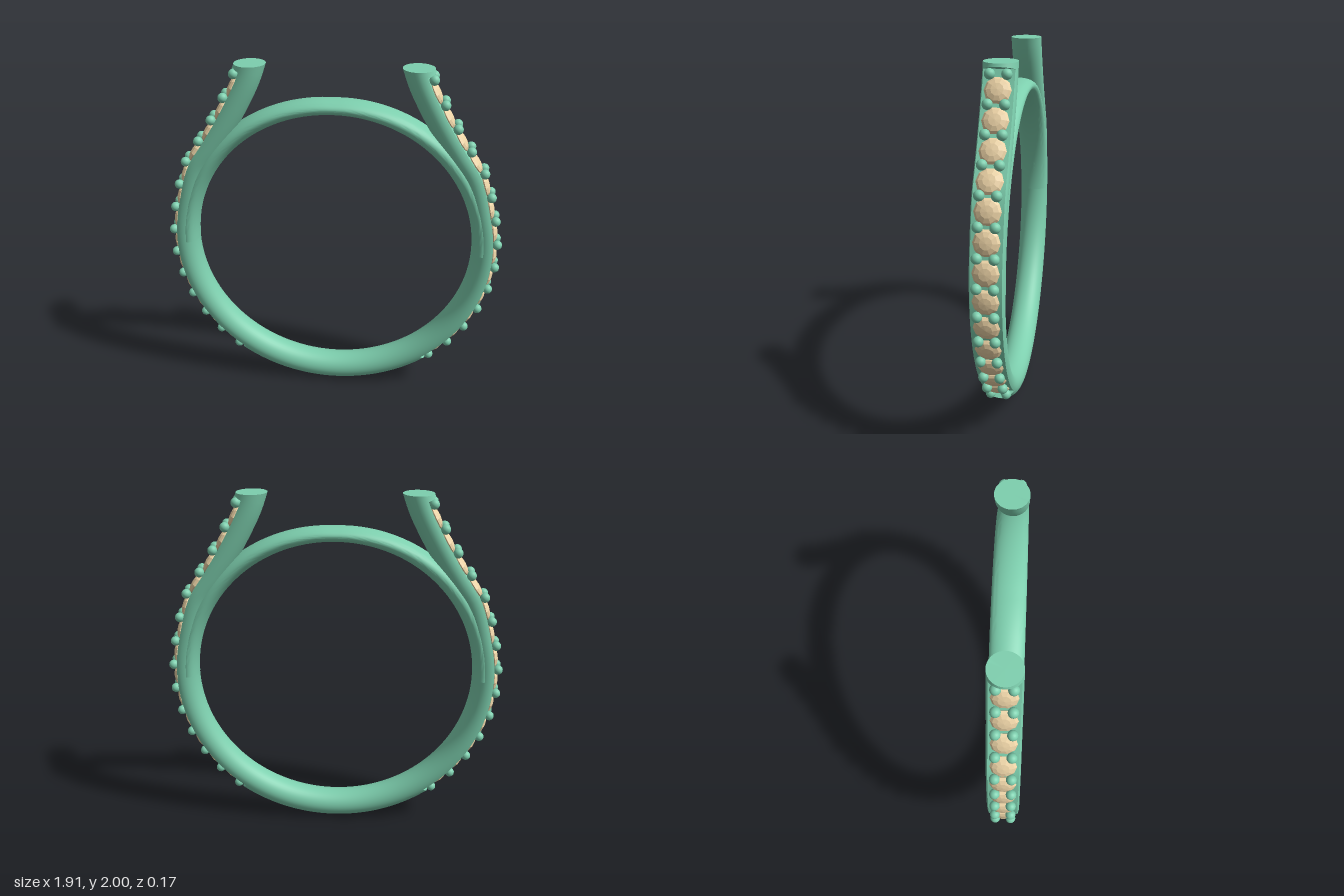
import * as THREE from 'three';
import { toCreasedNormals } from 'three/addons/utils/BufferGeometryUtils.js';

const CENTRE_Y = 0.95, RADIUS = 0.87, INNER = 0.79, TOP = 2;
const SIDES = 40;
const metal = new THREE.MeshStandardMaterial({ color: 0x7dcfae });
const stone = new THREE.MeshStandardMaterial({ color: 0xecd3a6, flatShading: true });

// Capped sweep through stations { p, n, a, b, flat }: an ellipse (a outward, b in z),
// cut flat on its outer side and trimmed level at the top.
function sweep(stations) {
  const pos = [], index = [], v = new THREE.Vector3();
  for (const { p, n, a, b, flat } of stations) {
    const t = new THREE.Vector3(-n.y, n.x, 0);
    for (let j = 0; j < SIDES; j++) {
      const ang = (j / SIDES) * Math.PI * 2;
      v.copy(p).addScaledVector(n, Math.min(a * Math.cos(ang), flat));
      v.z += b * Math.sin(ang);
      if (v.y > TOP) v.addScaledVector(t, (TOP - v.y) / t.y);
      pos.push(v.x, v.y, v.z);
    }
  }
  const last = stations.length - 1;
  const id = (i, j) => i * SIDES + (j % SIDES);
  for (let i = 0; i < last; i++) {
    for (let j = 0; j < SIDES; j++) {
      index.push(id(i, j), id(i + 1, j), id(i, j + 1));
      index.push(id(i + 1, j), id(i + 1, j + 1), id(i, j + 1));
    }
  }
  // End caps
  for (const i of [0, last]) {
    const c = pos.length / 3, sum = [0, 0, 0];
    for (let j = 0; j < SIDES; j++) for (let k = 0; k < 3; k++) sum[k] += pos[id(i, j) * 3 + k] / SIDES;
    pos.push(...sum);
    for (let j = 0; j < SIDES; j++) {
      if (i === 0) index.push(c, id(i, j), id(i, j + 1));
      else index.push(c, id(i, j + 1), id(i, j));
    }
  }
  const g = new THREE.BufferGeometry();
  g.setAttribute('position', new THREE.Float32BufferAttribute(pos, 3));
  g.setIndex(index);
  return toCreasedNormals(g, 0.5);
}

// Centre line: left arm, round the bottom, right arm
function shankCurve() {
  const half = [];
  for (let d = -90; d <= 15; d += 7.5) {
    const r = THREE.MathUtils.degToRad(d);
    half.push(new THREE.Vector3(RADIUS * Math.cos(r), CENTRE_Y + RADIUS * Math.sin(r), 0));
  }
  for (const [x, y] of [[0.772, 1.408], [0.69, 1.535], [0.61, 1.66], [0.53, 1.8], [0.467, 1.927], [0.427, 2.04]]) {
    half.push(new THREE.Vector3(x, y, 0));
  }
  const mirrored = half.slice(1).reverse().map(p => new THREE.Vector3(-p.x, p.y, 0));
  const curve = new THREE.CatmullRomCurve3([...mirrored, ...half]);
  curve.arcLengthDivisions = 1000;
  return curve;
}

export function createModel() {
  const model = new THREE.Group();
  const add = (name, geometry, material, parent = model) => {
    const m = new THREE.Mesh(geometry, material);
    m.name = name;
    parent.add(m);
    return m;
  };

  const curve = shankCurve();
  const length = curve.getLength(), mid = length / 2;
  const frame = s => {
    const u = THREE.MathUtils.clamp(s / length, 0, 1);
    const t = curve.getTangentAt(u);
    return { p: curve.getPointAt(u), n: new THREE.Vector3(t.y, -t.x, 0).normalize() };
  };

  // Shank, with a flat seat for the stones along each side
  const flat = 0.035, seatStart = 0.557, seatEnd = mid - 0.088;
  const breaks = [0, mid - seatEnd, mid - seatStart, mid + seatStart, mid + seatEnd, length];
  const stations = [];
  for (let k = 0; k < 5; k++) {
    const steps = [6, 50, 36, 50, 6][k];
    for (let i = 0; i <= steps; i++) {
      const s = THREE.MathUtils.lerp(breaks[k], breaks[k + 1], i / steps);
      stations.push({ ...frame(s), a: 0.08, b: 0.0875, flat: k % 2 ? flat : 1 });
    }
  }
  add('shank', sweep(stations), metal);

  // Slim arch closing the finger hole, thinnest at the top
  const arch = [];
  for (let i = 0; i <= 80; i++) {
    const ang = (i / 80) * Math.PI;
    const a = 0.04 + 0.015 * Math.abs(Math.cos(ang));
    const n = new THREE.Vector3(Math.cos(ang), Math.sin(ang), 0);
    const p = n.clone().multiplyScalar(INNER + a);
    p.y += CENTRE_Y;
    arch.push({ p, n, a, b: 0.086, flat: 1 });
  }
  add('arch', sweep(arch), metal);

  // Faceted stone and round bead
  const gemProfile = [[0, -0.02], [0.062, -0.006], [0.068, 0.004], [0.056, 0.016], [0.032, 0.025], [0, 0.028]];
  const gem = new THREE.LatheGeometry(gemProfile.map(([x, y]) => new THREE.Vector2(x, y)), 10);
  const bead = new THREE.SphereGeometry(0.027, 16, 12);
  const up = new THREE.Vector3(0, 1, 0);

  // Stones and bead pairs, evenly spaced along the outer rail of each side
  const first = 0.594, final = mid - 0.12, count = 13;
  for (const side of [1, -1]) {
    const row = new THREE.Group();
    row.name = side > 0 ? 'leftStoneRow' : 'rightStoneRow';
    model.add(row);
    const railPoints = [];
    for (let i = 0; i <= 40; i++) {
      const f = frame(mid + side * THREE.MathUtils.lerp(first, final, i / 40));
      railPoints.push(f.p.addScaledVector(f.n, 0.06));
    }
    const rail = new THREE.CatmullRomCurve3(railPoints);
    for (let i = 0; i <= count * 2; i++) {
      const p = rail.getPointAt(i / (count * 2));
      if (i % 2 === 0) {
        for (const z of [0.042, -0.042]) add('bead', bead, metal, row).position.set(p.x, p.y, z);
      } else {
        const t = rail.getTangentAt(i / (count * 2));
        const n = new THREE.Vector3(t.y, -t.x, 0).multiplyScalar(side);
        const m = add('stone', gem, stone, row);
        m.position.copy(p).addScaledVector(n, flat - 0.06 + 0.002);
        m.quaternion.setFromUnitVectors(up, n);
      }
    }
  }
  return model;
}
